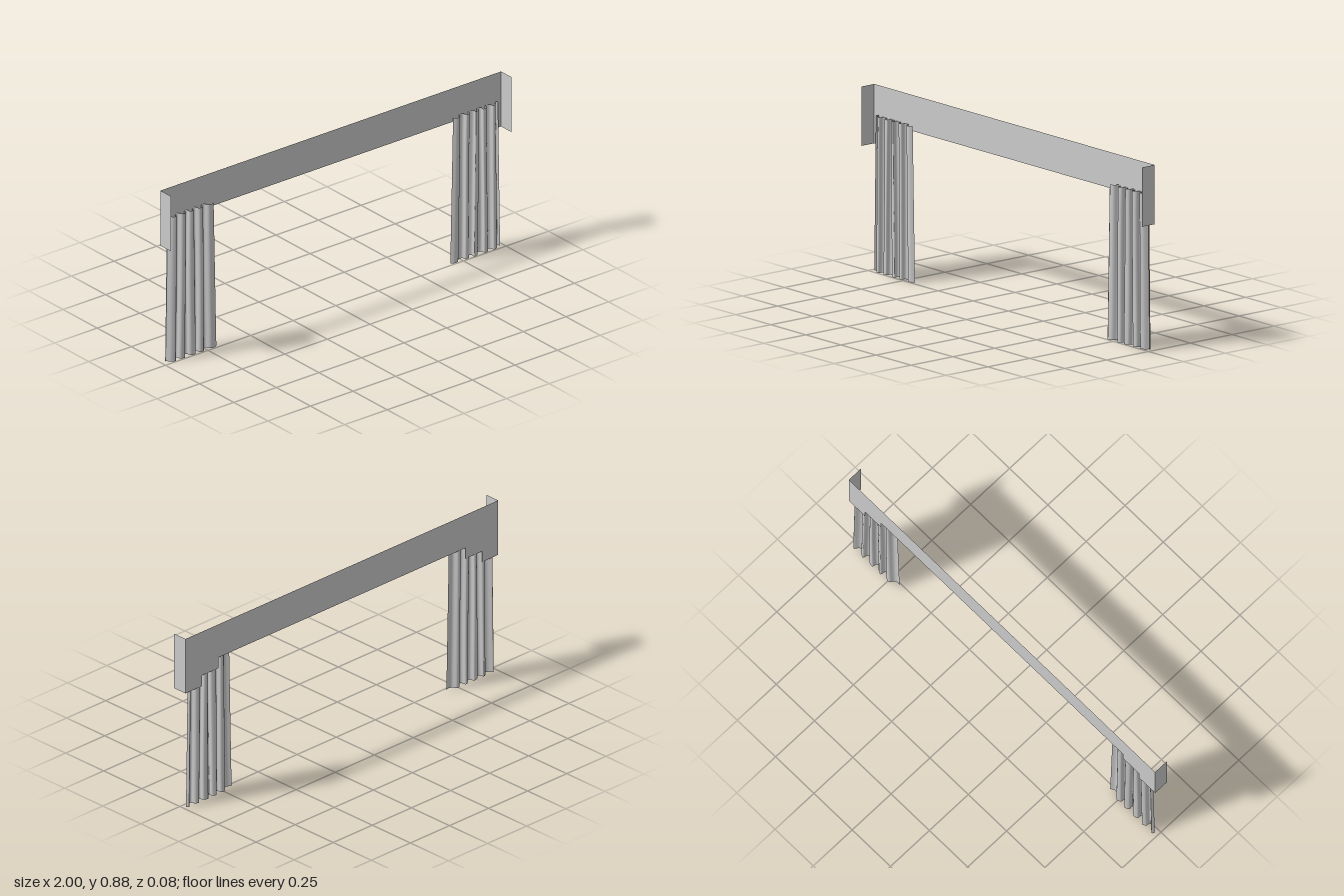
import * as THREE from 'three';

const material = new THREE.MeshStandardMaterial({ color: 0xcccccc, side: THREE.DoubleSide });
const BACK = -0.037, FRONT = 0.04, TOP = 0.875, LOW = 0.595, STEP = 0.055;

function add(parent, geometry, name) {
  const mesh = new THREE.Mesh(geometry, material);
  mesh.name = name;
  parent.add(mesh);
  return mesh;
}

// Pleats seen from above: [fraction from outer to inner edge, depth z]
const pleats = [
  [0, -0.022], [0.03, -0.034], [0.09, -0.012], [0.15, -0.005], [0.18, -0.027],
  [0.24, -0.034], [0.28, -0.010], [0.35, -0.006], [0.37, -0.028], [0.44, -0.034],
  [0.47, -0.011], [0.54, -0.005], [0.55, -0.025], [0.62, -0.034], [0.66, -0.009],
  [0.72, -0.006], [0.75, -0.028], [0.81, -0.033], [0.87, -0.010], [0.93, -0.006], [1, -0.018],
];
const pleatCurve = new THREE.CatmullRomCurve3(pleats.map(([t, z]) => new THREE.Vector3(t, 0, z * 10)));

// Pleated cloth that widens towards the floor
function curtainGeometry(side) {
  const geometry = new THREE.PlaneGeometry(1, 1, 100, 8);
  const pos = geometry.attributes.position;
  for (let i = 0; i < pos.count; i++) {
    const u = side > 0 ? 0.5 - pos.getX(i) : pos.getX(i) + 0.5;
    const drop = 0.5 - pos.getY(i);
    const p = pleatCurve.getPoint(u);
    const outer = 0.97 + 0.012 * drop, inner = 0.703 - 0.016 * drop;
    const sway = 0.003 * Math.sin(drop * 3 + u * 14) * Math.sin(Math.PI * u);
    pos.setXYZ(i, side * (outer + (inner - outer) * p.x + sway), 0.735 * (1 - drop), p.z / 10);
  }
  geometry.computeVertexNormals();
  return geometry;
}

export function createModel() {
  const model = new THREE.Group();
  model.name = 'curtainedValance';

  // Flat board with a stepped lower edge at each end
  const half = [[1, LOW], [0.895, LOW], [0.895, LOW + STEP], [0.79, LOW + STEP], [0.79, LOW + 2 * STEP]];
  const outline = [[-1, TOP], ...half.map(([x, y]) => [-x, y]), ...[...half].reverse(), [1, TOP]];
  const shape = new THREE.Shape(outline.map(([x, y]) => new THREE.Vector2(x, y)));
  add(model, new THREE.ShapeGeometry(shape), 'valanceBoard').position.z = BACK;

  for (const side of [-1, 1]) {
    const label = side > 0 ? 'left' : 'right';
    // Return panel at the end of the board
    const panel = add(model, new THREE.PlaneGeometry(FRONT - BACK, TOP - LOW), label + 'EndPanel');
    panel.rotation.y = side * Math.PI / 2;
    panel.position.set(side, (TOP + LOW) / 2, (FRONT + BACK) / 2);

    // Hanging curtain
    add(model, curtainGeometry(side), label + 'Curtain');
  }
  return model;
}
